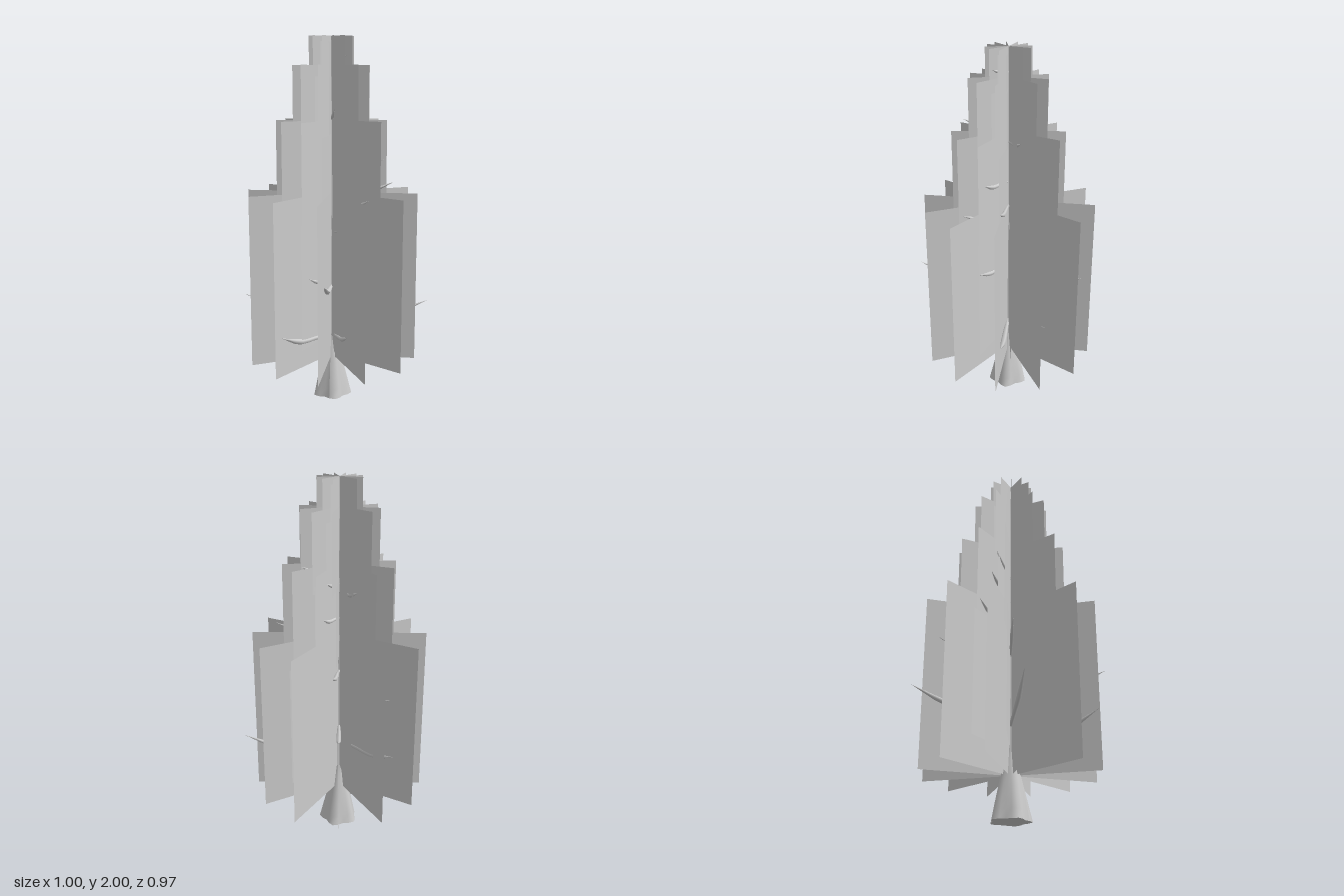
import * as THREE from 'three';

const AXIS_X = -0.04, AXIS_Z = -0.02;
const grey = new THREE.MeshStandardMaterial({ color: 0xcccccc });
const greyThin = new THREE.MeshStandardMaterial({ color: 0xcccccc, side: THREE.DoubleSide });

// Linear interpolation through [position, value] pairs
function profile(pairs, t) {
  for (let i = 1; i < pairs.length; i++) {
    const [a, va] = pairs[i - 1], [b, vb] = pairs[i];
    if (t <= b) return va + (vb - va) * (t - a) / (b - a);
  }
  return pairs[pairs.length - 1][1];
}

// Trunk: tapered column with a lobed, flared foot
function makeTrunk() {
  const radii = [[0, 0.1], [0.1, 0.08], [0.23, 0.052], [0.36, 0.024], [1, 0.016], [2, 0.004]];
  const levels = [0, 0.05, 0.1, 0.16, 0.23, 0.3, 0.36, 0.7, 1, 1.4, 2];
  const geo = new THREE.CylinderGeometry(1, 1, levels.length - 1, 20, levels.length - 1);
  const pos = geo.attributes.position;
  for (let i = 0; i < pos.count; i++) {
    const y = levels[Math.round(pos.getY(i) + (levels.length - 1) / 2)];
    const x = pos.getX(i), z = pos.getZ(i);
    const flare = Math.max(0, 1 - y / 0.36);
    const r = profile(radii, y) * (1 + 0.13 * flare * Math.cos(5 * Math.atan2(z, x)));
    pos.setXYZ(i, x * r, y, z * r);
  }
  geo.computeVertexNormals();
  const trunk = new THREE.Mesh(geo, grey);
  trunk.name = 'trunk';
  trunk.position.set(AXIS_X, 0, AXIS_Z);
  return trunk;
}

// Branch: spindle-shaped tube that leaves the trunk and turns up to a point
function makeBranch([x, y, z]) {
  const dx = x - AXIS_X, dz = z - AXIS_Z;
  const length = Math.hypot(dx, dz), rise = 0.27 * length;
  const at = (t, h) => new THREE.Vector3(AXIS_X + dx * t, y - rise * (1 - h), AXIS_Z + dz * t);
  const curve = new THREE.CatmullRomCurve3([at(0, 0), at(0.35, 0.25), at(0.65, 0.45), at(1, 1)]);
  const rings = 8, sides = 6;
  const geo = new THREE.TubeGeometry(curve, rings, 1, sides);
  const pos = geo.attributes.position;
  const thick = 0.006 + 0.018 * length;
  const v = new THREE.Vector3();
  for (let i = 0; i < pos.count; i++) {
    const t = Math.floor(i / (sides + 1)) / rings;
    const c = curve.getPointAt(t);
    const r = thick * profile([[0, 0.6], [0.6, 1], [0.75, 0.8], [1, 0.02]], t);
    v.fromBufferAttribute(pos, i).sub(c).multiplyScalar(r).add(c);
    pos.setXYZ(i, v.x, v.y, v.z);
  }
  geo.computeVertexNormals();
  const branch = new THREE.Mesh(geo, grey);
  branch.name = 'branch';
  return branch;
}

// Foliage tier: six square cards crossing on the trunk axis
function makeTier(centreY, half, offset) {
  const tier = new THREE.Group();
  tier.name = 'foliageTier';
  const geo = new THREE.PlaneGeometry(2 * half, 2 * half);
  for (let i = 0; i < 6; i++) {
    const card = new THREE.Mesh(geo, greyThin);
    card.name = 'foliageCard';
    card.rotation.y = THREE.MathUtils.degToRad(offset + 30 * i);
    tier.add(card);
  }
  tier.position.set(AXIS_X, centreY, AXIS_Z);
  return tier;
}

export function createModel() {
  const tree = new THREE.Group();
  tree.name = 'coniferTree';
  tree.add(makeTrunk());

  // Foliage: [centre height, half size, turn in degrees], outer and inner cards
  const tiers = [
    [0.7, 0.47, 0], [0.7, 0.34, 11],
    [1.26, 0.3, 8], [1.26, 0.22, 26],
    [1.64, 0.21, 20], [1.64, 0.15, 4],
    [1.88, 0.12, 15], [1.88, 0.09, 0],
  ];
  for (const t of tiers) tree.add(makeTier(...t));

  // Branch tips, longest near the ground
  const tips = [
    [-0.22, 0.49, 0.47], [0.19, 0.52, -0.26], [0.49, 0.56, -0.06], [-0.49, 0.62, 0.16],
    [-0.32, 0.66, -0.47], [0, 0.77, 0.48], [-0.04, 0.72, -0.44], [-0.16, 0.57, 0.25],
    [0.09, 0.44, 0.28], [-0.12, 0.74, 0.24], [0.3, 0.88, 0.08], [-0.31, 0.92, -0.34],
    [-0.35, 0.97, 0.07], [0.08, 1, 0.15], [-0.01, 1.04, -0.35], [-0.35, 1.1, -0.11],
    [0.19, 1.16, 0.19], [0.3, 1.23, -0.03], [-0.3, 1.28, -0.06], [0.04, 1.32, -0.25],
    [0.25, 1.36, 0.06], [-0.27, 1.42, -0.04], [-0.13, 1.46, -0.24], [0.02, 1.49, -0.19],
    [0.01, 1.63, 0.21], [0.16, 1.56, -0.11], [-0.1, 1.73, -0.13], [0.05, 1.9, 0.05],
  ];
  const branches = new THREE.Group();
  branches.name = 'branches';
  for (const tip of tips) branches.add(makeBranch(tip));
  tree.add(branches);
  return tree;
}
